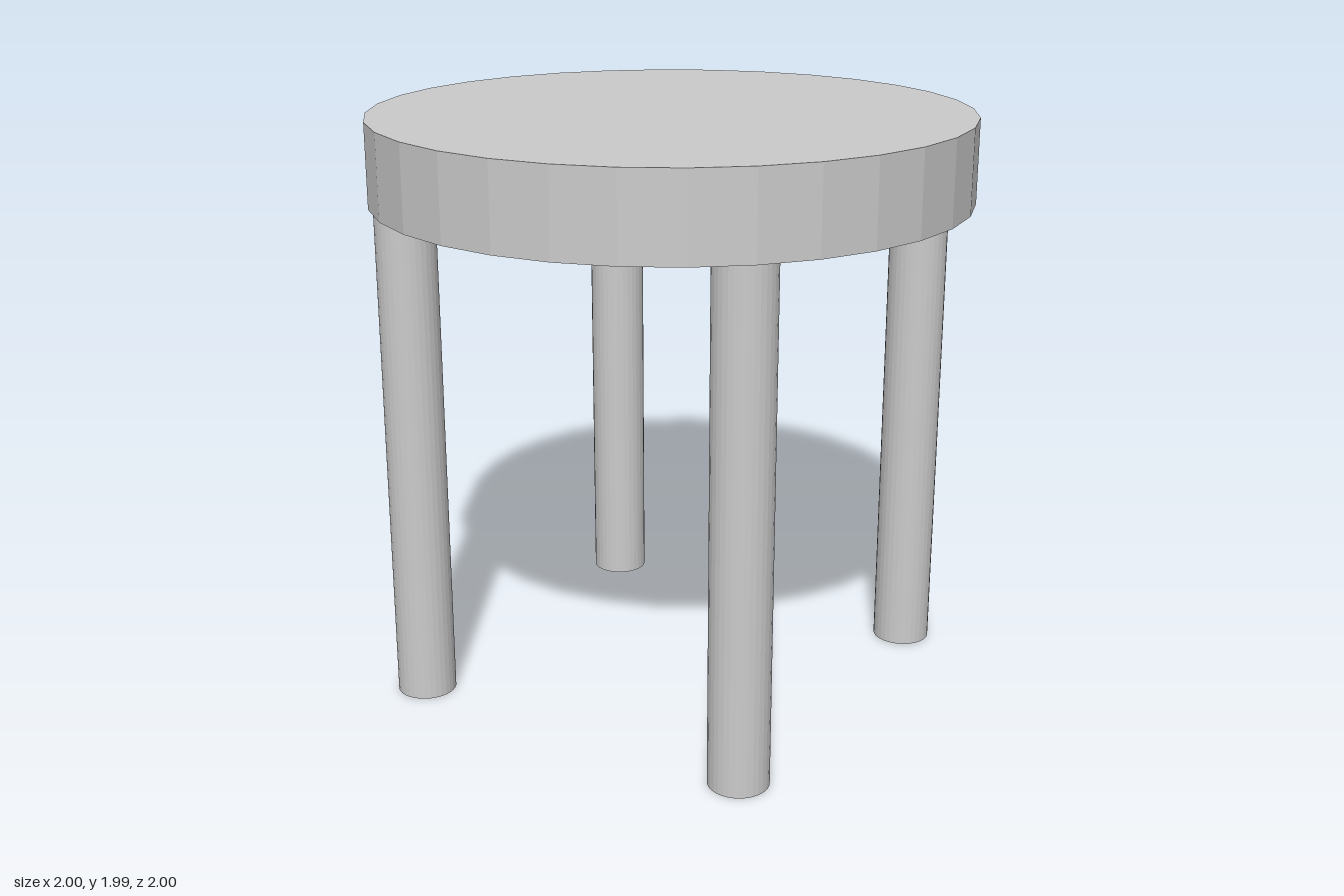
import * as THREE from 'three';

const SIDES = 32;
const HEIGHT = 1.99;
const SEAT_BOTTOM = 1.71;
const LEG_RADIUS = 0.1;
const LEG_OFFSET = 0.885;

export function createModel() {
  const stool = new THREE.Group();
  stool.name = 'stool';
  const material = new THREE.MeshStandardMaterial({ color: 0xcccccc, flatShading: true });

  // Upright cylinder spanning two heights
  const addCylinder = (name, radius, bottom, top, x, z) => {
    const geometry = new THREE.CylinderGeometry(radius, radius, top - bottom, SIDES);
    const mesh = new THREE.Mesh(geometry, material);
    mesh.name = name;
    mesh.position.set(x, (bottom + top) / 2, z);
    stool.add(mesh);
  };

  // Thick round seat
  addCylinder('seat', 1, SEAT_BOTTOM, HEIGHT, 0, 0);

  // Four legs, one at each quarter of the rim
  const legNames = ['frontLeg', 'leftLeg', 'backLeg', 'rightLeg'];
  legNames.forEach((name, i) => {
    const angle = (i * Math.PI) / 2;
    addCylinder(name, LEG_RADIUS, 0, SEAT_BOTTOM, LEG_OFFSET * Math.sin(angle), LEG_OFFSET * Math.cos(angle));
  });

  return stool;
}
